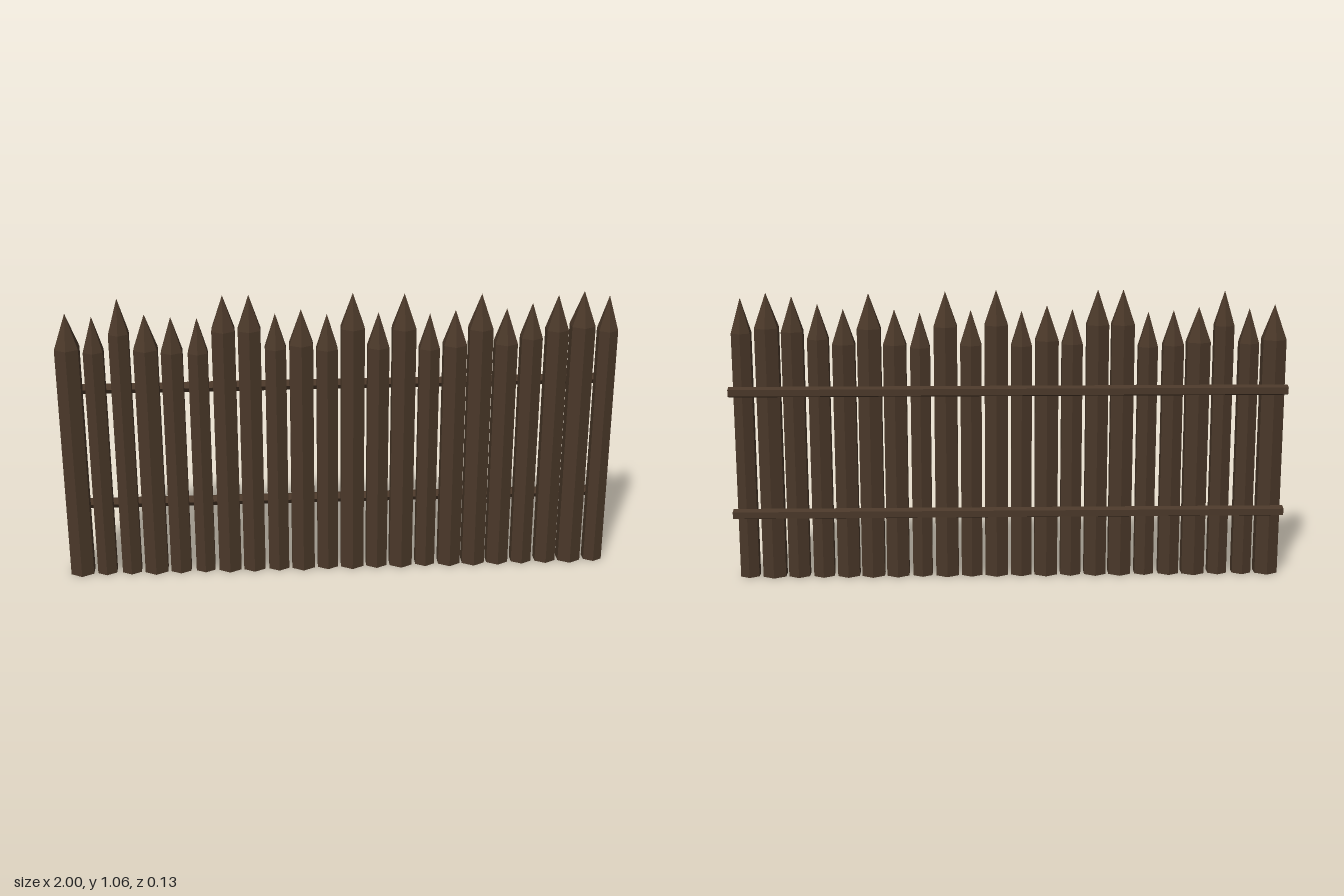
import * as THREE from 'three';

// One [height, radius] pair per stake, from right (-x) to left (+x)
const STAKES = [
  [1.0, 0.048], [0.987, 0.04], [1.051, 0.04], [0.992, 0.048], [0.981, 0.043], [0.976, 0.04],
  [1.056, 0.047], [1.056, 0.046], [0.987, 0.043], [1.0, 0.048], [0.981, 0.043], [1.056, 0.048],
  [0.984, 0.044], [1.051, 0.048], [0.976, 0.041], [0.987, 0.047], [1.045, 0.048], [0.989, 0.046],
  [1.008, 0.043], [1.035, 0.044], [1.048, 0.048], [1.03, 0.039],
];
const SPACING = 0.091;
const TIP = 0.125;

export function createModel() {
  const group = new THREE.Group();
  group.name = 'palisade';
  const wood = new THREE.MeshStandardMaterial({ color: 0x4a3829, flatShading: true });
  wood.name = 'darkWood';

  // Six-sided stakes with pointed tops
  STAKES.forEach(([height, radius], i) => {
    const profile = [[0, 0], [radius, 0], [radius, height - TIP], [0, height]]
      .map(([x, y]) => new THREE.Vector2(x, y));
    const stake = new THREE.Mesh(new THREE.LatheGeometry(profile, 6), wood);
    stake.name = `stake${i + 1}`;
    stake.position.set((i - (STAKES.length - 1) / 2) * SPACING, 0, 0.015);
    group.add(stake);
  });

  // Two five-sided rails across the back
  for (const [name, y] of [['lowerRail', 0.25], ['upperRail', 0.7]]) {
    const rail = new THREE.Mesh(new THREE.CylinderGeometry(0.02, 0.02, 2, 5), wood);
    rail.name = name;
    rail.rotation.z = Math.PI / 2;
    rail.position.set(0, y, -0.047);
    group.add(rail);
  }
  return group;
}
